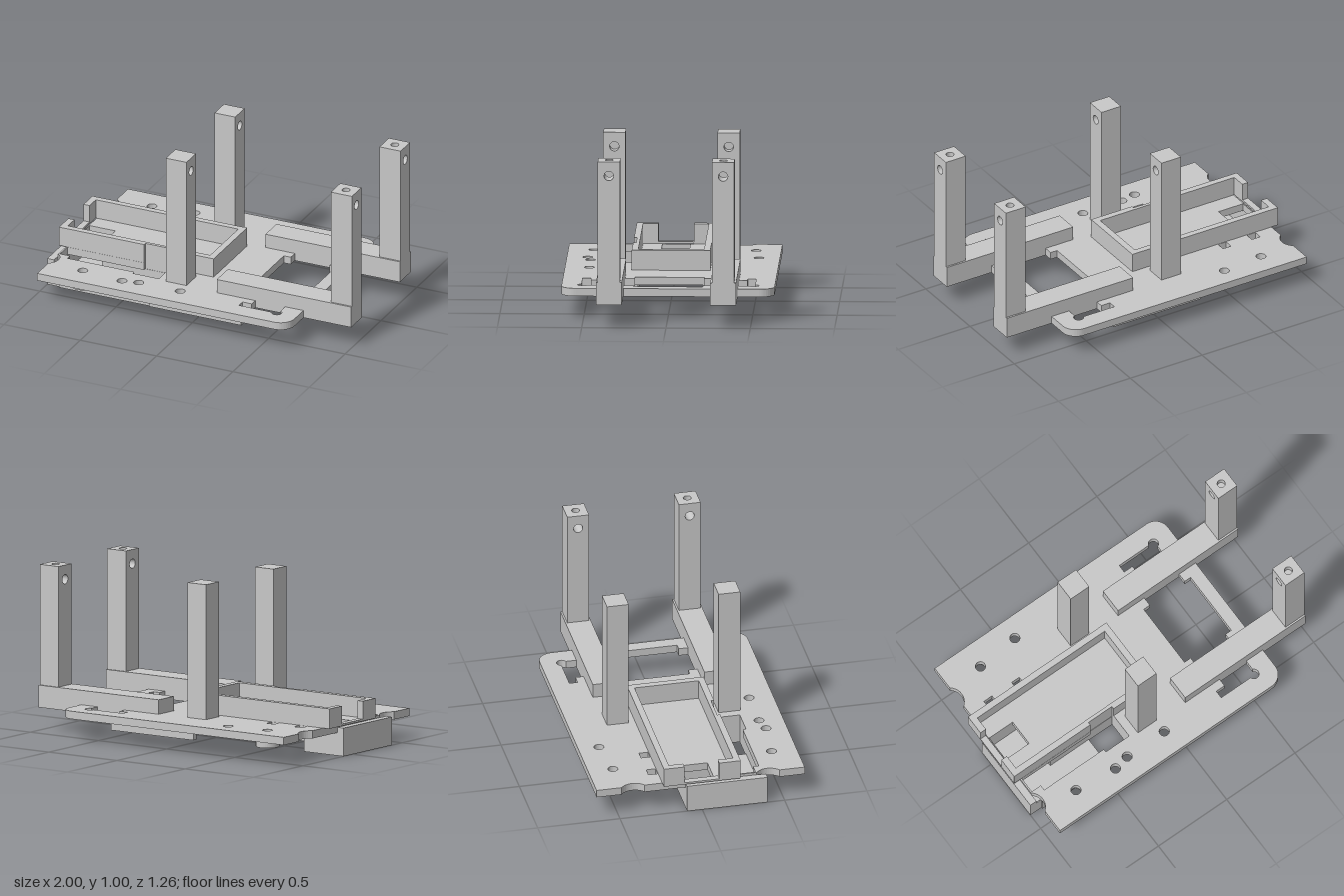
import * as THREE from 'three';

const gray = new THREE.MeshStandardMaterial({ color: 0xc8c8c8 });
gray.name = 'plain gray';

// Points on an arc in the ground plane, as [x, z]
function arc(cx, cz, r, a0, a1, n = 12) {
  return Array.from({ length: n + 1 }, (_, i) => {
    const a = a0 + (a1 - a0) * i / n;
    return [cx + r * Math.cos(a), cz + r * Math.sin(a)];
  });
}
const circle = (x, z, r, n = 24) => arc(x, z, r, 0, 2 * Math.PI, n).slice(0, -1);
const rect = (x0, x1, z0, z1) => [[x0, z0], [x1, z0], [x1, z1], [x0, z1]];
// Adds the mirror image in z, walking back along the outline
const mirrored = (pts) => [...pts, ...pts.map(([x, z]) => [x, -z]).reverse()];

// Outline runs counter-clockwise and holes clockwise, so all walls face outward
function shapeOf(points, holes) {
  const vec = (list, clockwise) => {
    const v = list.map(([x, z]) => new THREE.Vector2(x, -z));
    return THREE.ShapeUtils.isClockWise(v) === clockwise ? v : v.reverse();
  };
  const shape = new THREE.Shape(vec(points, false));
  holes.forEach((h) => shape.holes.push(new THREE.Path(vec(h, true))));
  return shape;
}

// Outline in [x, z] raised from y0 to y1
function slab(name, points, holes, y0, y1) {
  const geo = new THREE.ExtrudeGeometry(shapeOf(points, holes), { depth: y1 - y0, bevelEnabled: false });
  geo.rotateX(-Math.PI / 2).translate(0, y0, 0);
  const mesh = new THREE.Mesh(geo, gray);
  mesh.name = name;
  return mesh;
}

// Upright block with a round hole running along x
function drilledBlock(name, x0, x1, y0, y1, z, width, holeY) {
  const geo = new THREE.ExtrudeGeometry(
    shapeOf(rect(-width / 2, width / 2, -y1, -y0), [circle(0, -holeY, 0.028)]),
    { depth: x1 - x0, bevelEnabled: false });
  geo.rotateY(Math.PI / 2).translate(x0, 0, z);
  const mesh = new THREE.Mesh(geo, gray);
  mesh.name = name;
  return mesh;
}

export function createModel() {
  const model = new THREE.Group();
  model.name = 'mountingFrame';
  const bottom = 0.138, top = 0.185, postTop = 0.997;

  // Base plate: rounded at +x, scalloped at -x
  const half = Math.acos(0.6);
  const outline = mirrored([
    ...arc(-1.0075, -0.41, 0.0875, half, -half),
    [-0.955, -0.6325],
    ...arc(0.598, -0.5425, 0.09, -Math.PI / 2, 0, 10),
  ]);
  const window = mirrored([
    [0.267, -0.206], [0.312, -0.206], [0.312, -0.3], [0.372, -0.3], [0.372, -0.465], [0.312, -0.465], [0.312, -0.515],
    ...arc(0.557, -0.508, 0.03, 3.38, 7.5, 16),
    [0.567, -0.206], [0.61, -0.206],
  ]);
  const channel = [
    [-0.945, 0.234], [-0.443, 0.234], [-0.443, 0.215], [-0.272, 0.215],
    [-0.272, 0.39], [-0.443, 0.39], [-0.443, 0.37], [-0.88, 0.37], [-0.88, 0.335], [-0.945, 0.335],
  ];
  const screwHoles = [[-0.728, -0.483], [-0.728, 0.481], [-0.458, -0.508], [-0.458, 0.508], [-0.358, 0.488], [-0.086, 0.488]];
  model.add(slab('basePlate', outline, [
    window, channel,
    rect(-0.95, -0.78, -0.086, 0.08),
    rect(-0.841, -0.782, -0.292, -0.236),
    rect(-0.638, -0.582, -0.292, -0.236),
    ...screwHoles.map(([x, z]) => circle(x, z, 0.03)),
  ], bottom, top));

  // Tray walls, cut down to a low sill at the -x end and thinned beside the chute
  model.add(
    slab('trayWalls', [
      [-1, -0.233], [0.013, -0.233], [0.013, 0.233], [-0.272, 0.233], [-0.272, 0.215], [-0.443, 0.215], [-0.443, 0.233],
      [-1, 0.233], [-1, 0.103], [-0.96, 0.103], [-0.96, 0.195], [-0.027, 0.195],
      [-0.027, -0.195], [-0.96, -0.195], [-0.96, -0.108], [-1, -0.108],
    ], [], top, 0.305),
    slab('traySill', rect(-1, -0.96, -0.108, 0.103), [], top, 0.197),
  );

  // Hollow L-shaped housing below the plate, with an open chute
  const housing = [
    [-1, -0.092], [-0.71, -0.092], [-0.71, 0.205], [-0.266, 0.205],
    [-0.266, 0.405], [-0.92, 0.405], [-0.92, 0.396], [-1, 0.396],
  ];
  const cavity = [[-0.96, -0.086], [-0.725, -0.086], [-0.725, 0.217], [-0.272, 0.217], [-0.272, 0.39], [-0.96, 0.39]];
  model.add(
    slab('housingFloor', housing, [rect(-0.443, -0.272, 0.217, 0.39)], 0, 0.015),
    slab('housingWalls', housing, [cavity], 0.015, bottom),
    slab('housingLip', rect(-1, -0.956, -0.092, 0.396), [], bottom, 0.17),
  );

  for (const s of [-1, 1]) {
    const z = s * 0.339;

    // Arm with an outer post, drilled crosswise and from the top
    model.add(
      slab('arm', rect(0.12, 1, z - 0.0765, z + 0.0765), [], bottom, 0.272),
      drilledBlock('outerPost', 0.862, 1, 0.272, 0.95, z, 0.132, 0.912),
      slab('outerPostTop', rect(0.862, 1, z - 0.066, z + 0.066), [circle(0.931, z, 0.024)], 0.95, postTop),
    );

    // Inner post with a blind hole facing +x
    model.add(
      slab('innerPostBack', rect(-0.219, -0.155, z - 0.066, z + 0.066), [], top, postTop),
      drilledBlock('innerPostFront', -0.155, -0.084, top, postTop, z, 0.132, 0.912),
    );

    // Stiffening rail and nut holder on the underside
    model.add(
      slab('rail', rect(-0.25, 0.355, s * 0.559 - 0.016, s * 0.559 + 0.016), [], 0.088, bottom),
      slab('nutHolder', circle(-0.728, s * 0.483, 0.07, 32), [circle(-0.728, s * 0.483, 0.05, 6)], 0.088, bottom),
    );
  }
  return model;
}
